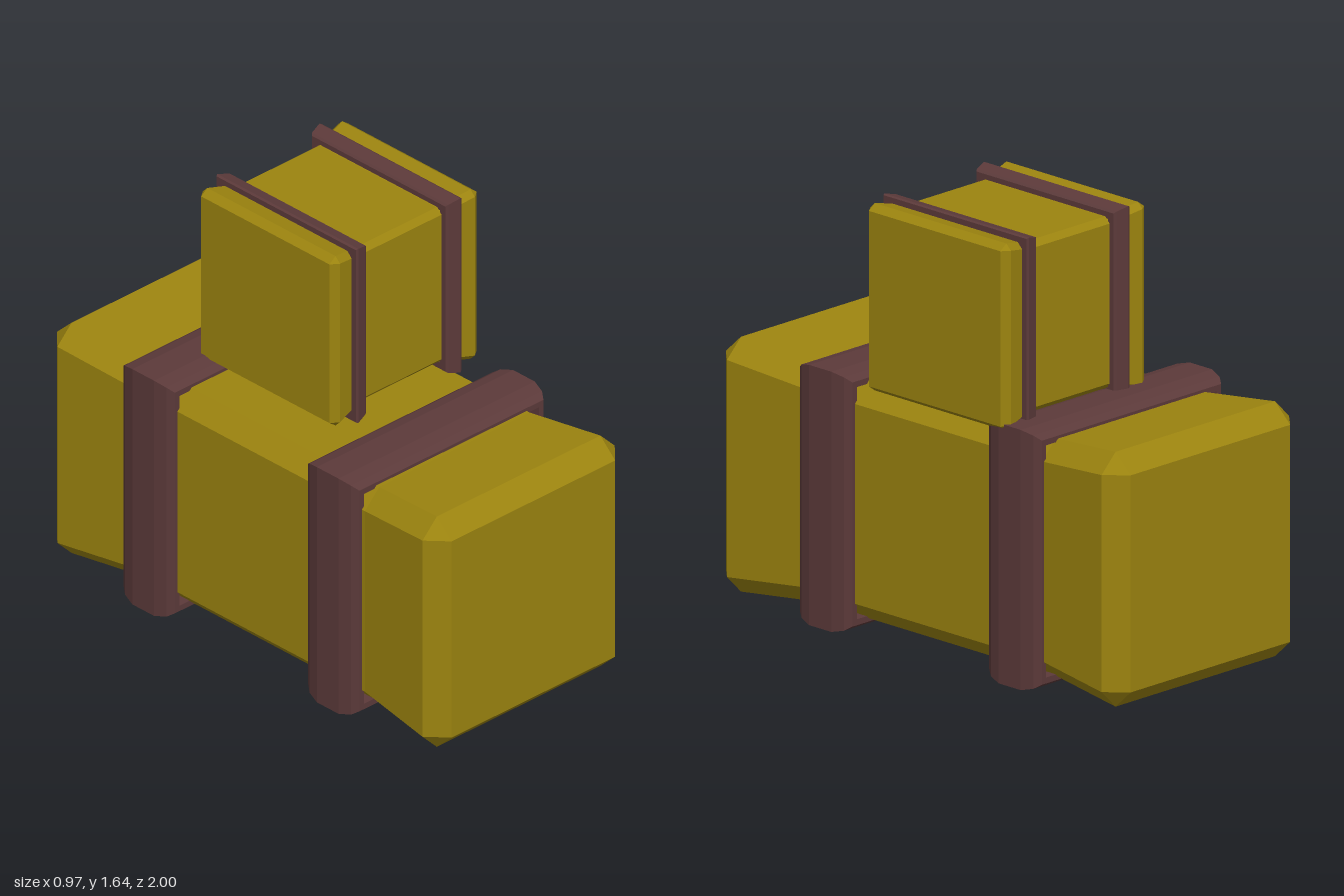
import * as THREE from 'three';

const straw = new THREE.MeshStandardMaterial({ color: 0x9c840f, flatShading: true });
const twine = new THREE.MeshStandardMaterial({ color: 0x5c3a3a, flatShading: true });

// Skins a row of cross-section rings (counter-clockwise about +z);
// 'loop' joins the last ring to the first, otherwise both ends are capped.
function skin(rings, loop) {
  const pos = [];
  const tri = (a, b, c) => {
    if (a.equals(b) || b.equals(c) || a.equals(c)) return;
    for (const p of [a, b, c]) pos.push(p.x, p.y, p.z);
  };
  const n = rings[0].length;
  const spans = loop ? rings.length : rings.length - 1;
  for (let i = 0; i < spans; i++) {
    const r = rings[i], s = rings[(i + 1) % rings.length];
    for (let j = 0; j < n; j++) {
      const k = (j + 1) % n;
      tri(r[j], r[k], s[k]);
      tri(r[j], s[k], s[j]);
    }
  }
  if (!loop) {
    const first = rings[0], last = rings[rings.length - 1];
    for (let j = 1; j < n - 1; j++) {
      tri(first[0], first[j + 1], first[j]);
      tri(last[0], last[j], last[j + 1]);
    }
  }
  const geo = new THREE.BufferGeometry();
  geo.setAttribute('position', new THREE.Float32BufferAttribute(pos, 3));
  geo.computeVertexNormals();
  return geo;
}

// Rectangle with cut corners at depth z
function section(z, w, h, c) {
  return [
    [w, h - c], [w - c, h], [c - w, h], [-w, h - c],
    [-w, c - h], [c - w, -h], [w - c, -h], [w, c - h],
  ].map(([x, y]) => new THREE.Vector3(x, y, z));
}

// Bale along z: bevelled flared ends, pinched straight waist
function bale(name, half, end, waist, waistZ, bevel, bevelZ) {
  const [ew, eh] = end, [ww, wh] = waist;
  const geo = skin([
    section(-half, ew - bevel, eh - bevel, 0),
    section(bevelZ - half, ew, eh, bevel),
    section(-waistZ, ww, wh, bevel),
    section(waistZ, ww, wh, bevel),
    section(half - bevelZ, ew, eh, bevel),
    section(half, ew - bevel, eh - bevel, 0),
  ], false);
  const mesh = new THREE.Mesh(geo, straw);
  mesh.name = name;
  return mesh;
}

// Square band swept from a closed profile of [z, inset from the outer size]
function strap(name, w, h, z, profile) {
  const rings = profile.map(([dz, inset]) => {
    const x = w - inset, y = h - inset;
    return [[x, -y], [x, y], [-x, y], [-x, -y]].map(([px, py]) => new THREE.Vector3(px, py, dz));
  });
  const mesh = new THREE.Mesh(skin(rings, true), twine);
  mesh.name = name;
  mesh.position.z = z;
  return mesh;
}

export function createModel() {
  const model = new THREE.Group();
  model.name = 'strappedBales';

  // Large bale lying front to back
  const large = new THREE.Group();
  large.name = 'largeBale';
  large.position.set(-0.005, 0.488, 0);
  large.add(bale('largeBaleBody', 1, [0.47, 0.472], [0.438, 0.44], 0.6, 0.07, 0.075));
  const wide = [
    [-0.13, 0.052], [-0.13, 0.03], [-0.105, 0.013], [-0.055, 0],
    [0.055, 0], [0.105, 0.013], [0.13, 0.03], [0.13, 0.052],
  ];
  large.add(strap('largeFrontStrap', 0.48, 0.482, 0.455, wide));
  large.add(strap('largeBackStrap', 0.48, 0.482, -0.48, wide));
  model.add(large);

  // Small bale lying crosswise on top
  const small = new THREE.Group();
  small.name = 'smallBale';
  small.position.set(0.125, 1.288, -0.12);
  small.rotation.y = Math.PI / 2;
  small.add(bale('smallBaleBody', 0.36, [0.347, 0.347], [0.318, 0.318], 0.19, 0.022, 0.03));
  // Thin straps lean outward with the flare of the ends
  for (const side of [-1, 1]) {
    const thin = [
      [-0.032, 0.045], [-0.032, 0.019], [-0.024, 0.012],
      [0.024, 0], [0.032, 0.004], [0.032, 0.045],
    ];
    const profile = side > 0 ? thin : thin.map(([z, i]) => [-z, i]).reverse();
    small.add(strap(side > 0 ? 'smallLeftStrap' : 'smallRightStrap', 0.357, 0.357, side * 0.226, profile));
  }
  model.add(small);

  return model;
}
